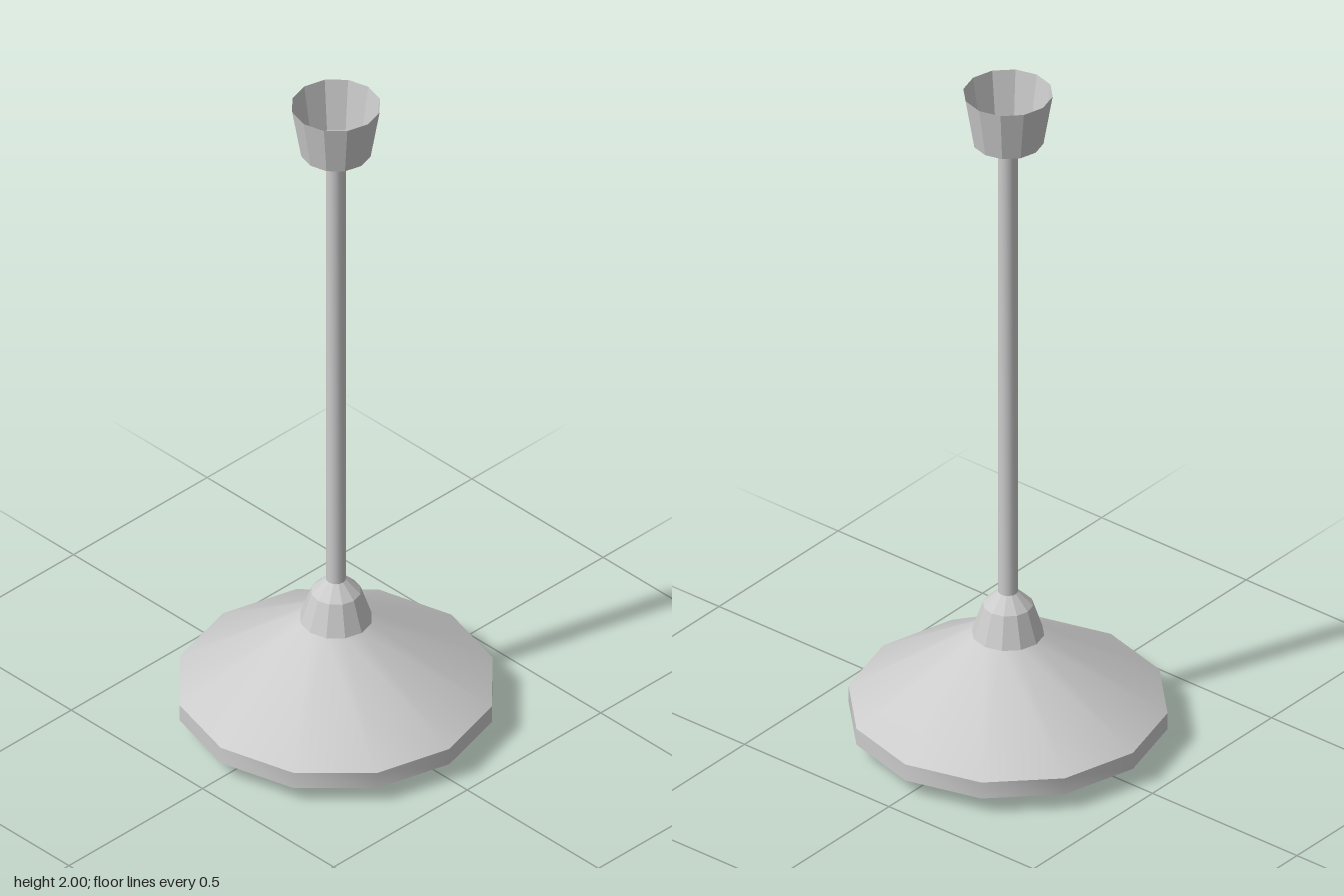
import * as THREE from 'three';
import { toCreasedNormals } from 'three/addons/utils/BufferGeometryUtils.js';

const SIDES = 12;

// Turned part from [radius, height] pairs, listed bottom to top along the outside
function turned(name, profile, sides, creaseAngle) {
  const points = profile.map(([r, y]) => new THREE.Vector2(r, y));
  let geometry = new THREE.LatheGeometry(points, sides);
  const flat = creaseAngle === 0;
  if (!flat) geometry = toCreasedNormals(geometry, creaseAngle);
  const material = new THREE.MeshStandardMaterial({
    color: 0xcccccc, flatShading: flat, side: THREE.DoubleSide,
  });
  const mesh = new THREE.Mesh(geometry, material);
  mesh.name = name;
  return mesh;
}

export function createModel() {
  const lamp = new THREE.Group();
  lamp.name = 'pendantLamp';

  // Open cup against the ceiling
  lamp.add(turned('ceilingCup', [[0.027, 1.81], [0.096, 1.85], [0.121, 2]], SIDES, 0));

  // Hanging rod with closed ends
  lamp.add(turned('rod', [[0, 0.43], [0.027, 0.43], [0.027, 1.82], [0, 1.82]], 16, 0.7));

  // Socket cover, open below
  lamp.add(turned('socketCover', [[0.098, 0.31], [0.068, 0.4], [0.027, 0.44]], SIDES, 0));

  // Thick conical shade: the inside cone runs parallel to the outside one
  lamp.add(turned('shade', [
    [0.098, 0.26], [0.432, 0.05], [0.432, 0.1], [0.098, 0.31], [0.098, 0.26],
  ], SIDES, 0.7));

  // Bulb with a narrow neck reaching up into the socket cover
  lamp.add(turned('bulb', [
    [0, 0], [0.052, 0.022], [0.085, 0.075], [0.076, 0.115],
    [0.045, 0.18], [0.042, 0.3], [0.042, 0.38], [0, 0.38],
  ], 8, 0.6));

  return lamp;
}
